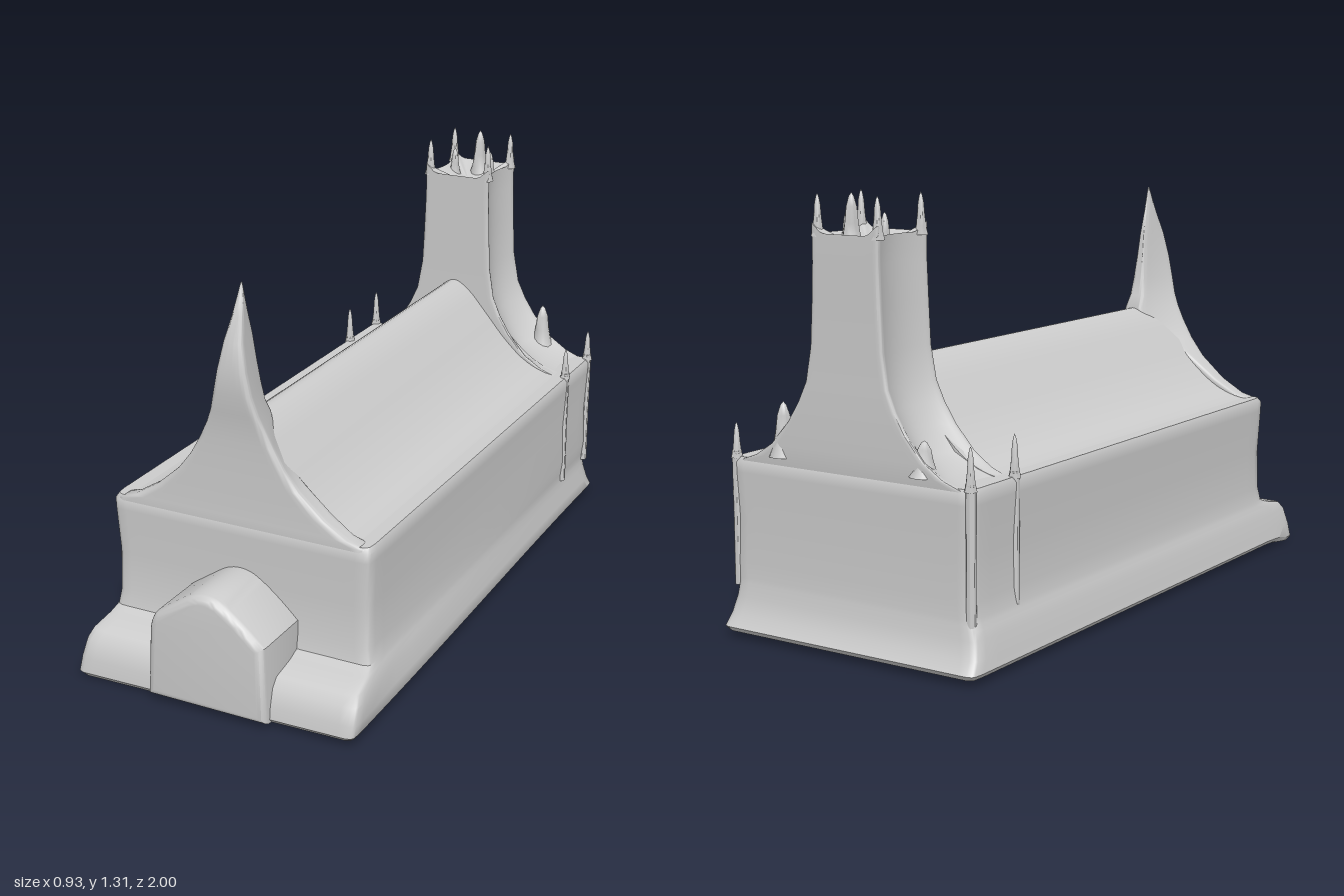
import * as THREE from 'three';
import { toCreasedNormals, mergeVertices } from 'three/addons/utils/BufferGeometryUtils.js';

const mat = new THREE.MeshStandardMaterial({ color: 0xcccccc });
const { smoothstep, clamp } = THREE.MathUtils;

function part(name, geo, crease = 0.8) {
  const mesh = new THREE.Mesh(toCreasedNormals(geo, crease), mat);
  mesh.name = name;
  return mesh;
}

// Outline of a square of half-size 1, with points gathered towards the corners.
function squareRing(k = 20) {
  const pts = [];
  for (let side = 0; side < 4; side++) {
    for (let i = 0; i < k; i++) {
      const s = Math.sin((i / k - 0.5) * Math.PI);
      pts.push([[1, s], [-s, 1], [-1, -s], [s, -1]][side]);
    }
  }
  return pts;
}

// Stacks rounded rectangles, levels = [y, xMin, xMax, zMin, zMax].
// warp(point, level) can reshape each ring; dip sinks the middle of the top.
function loft(levels, radius, warp, dip = 0) {
  const ring = squareRing(), n = ring.length, pos = [], index = [];
  for (const level of levels) {
    const [y, x0, x1, z0, z1] = level;
    const a = (x1 - x0) / 2, b = (z1 - z0) / 2, r = Math.min(radius, a, b);
    for (const [u, v] of ring) {
      const p = new THREE.Vector2(u * a, v * b);
      const q = new THREE.Vector2(clamp(p.x, r - a, a - r), clamp(p.y, r - b, b - r));
      const d = p.sub(q).setLength(r).add(q);
      const out = new THREE.Vector3((x0 + x1) / 2 + d.x, y, (z0 + z1) / 2 + d.y);
      if (warp) warp(out, level);
      pos.push(out.x, out.y, out.z);
    }
  }
  for (let j = 0; j < levels.length - 1; j++) {
    for (let i = 0; i < n; i++) {
      const a = j * n + i, b = j * n + (i + 1) % n;
      index.push(a, a + n, b, b, a + n, b + n);
    }
  }
  const first = levels[0], last = levels[levels.length - 1], c = pos.length / 3, t = (levels.length - 1) * n;
  for (const [l, sink] of [[first, 0], [last, dip]])
    pos.push((l[1] + l[2]) / 2, l[0] - sink, (l[3] + l[4]) / 2);
  for (let i = 0; i < n; i++) {
    const k = (i + 1) % n;
    index.push(c, i, k, c + 1, t + k, t + i);
  }
  const geo = new THREE.BufferGeometry();
  geo.setAttribute('position', new THREE.Float32BufferAttribute(pos, 3));
  geo.setIndex(index);
  return mergeVertices(geo, 1e-5);
}

// Slender pointed finial with a flared foot that melts into what it stands on.
function pinnacle(name, x, y, z, r, h) {
  const profile = [[r, 0], [r * 0.72, h * 0.2], [r * 0.55, h * 0.45], [r * 0.42, h * 0.75], [r * 0.2, h * 0.93], [0, h]]
    .map(p => new THREE.Vector2(...p));
  const mesh = part(name, new THREE.LatheGeometry(profile, 12), 1.2);
  mesh.position.set(x, y, z);
  return mesh;
}

export function createModel() {
  const g = new THREE.Group();
  g.name = 'church';

  // Walls growing out of a flared plinth with a low terrace in front;
  // the right flank narrows to the back, the front edge sags and its right corner bulges
  g.add(part('wallsAndPlinth', loft([
    [0.024, -0.42, 0.42, -0.95, 0.8],
    [0.021, -0.455, 0.455, -0.99, 0.955],
    [0.035, -0.465, 0.465, -1, 0.968],
    [0.07, -0.457, 0.46, -0.975, 0.962],
    [0.12, -0.446, 0.45, -0.96, 0.945],
    [0.145, -0.438, 0.442, -0.956, 0.92],
    [0.16, -0.432, 0.436, -0.953, 0.84],
    [0.175, -0.428, 0.431, -0.951, 0.8],
    [0.22, -0.422, 0.424, -0.949, 0.79],
    [0.35, -0.42, 0.42, -0.945, 0.785],
    [0.49, -0.427, 0.427, -0.95, 0.79],
    [0.52, -0.428, 0.428, -0.95, 0.79],
    [0.535, -0.42, 0.42, -0.94, 0.78],
  ], 0.025, p => {
    const low = 1 - smoothstep(p.y, 0.12, 0.22);
    if (p.x > 0) {
      p.x -= 0.03 * low * (1 - smoothstep(p.z, -1, 0.95));
      p.x += 0.017 * low * smoothstep(p.y, 0.03, 0.11) * smoothstep(p.z, 0.65, 0.93);
    }
    p.y -= 0.02 * (0.5 - p.x) * smoothstep(p.z, 0.82, 0.95) * (1 - smoothstep(p.y, 0.02, 0.1));
  })));

  // Long roof, steep below the ridge and flattening out at the eaves
  const half = [[0.42, 0.53], [0.35, 0.54], [0.28, 0.57], [0.2, 0.637], [0.12, 0.728], [0.05, 0.803], [0, 0.83]];
  const curve = new THREE.CatmullRomCurve3(
    [...half, ...half.slice(0, -1).reverse().map(([x, y]) => [-x, y])].map(([x, y]) => new THREE.Vector3(x, y, 0)));
  const roofShape = new THREE.Shape(curve.getPoints(48).map(p => new THREE.Vector2(p.x, p.y)));
  roofShape.lineTo(-0.42, 0.45);
  roofShape.lineTo(0.42, 0.45);
  const roof = part('roof', new THREE.ExtrudeGeometry(roofShape, { depth: 1.53, bevelEnabled: false }));
  roof.position.z = -0.76;
  g.add(roof);

  // Front gable sweeping up into a spire, wedge-shaped towards the back
  const gable = [
    [0.5, 0.42, 0.74, 0.788], [0.53, 0.41, 0.735, 0.79], [0.545, 0.355, 0.73, 0.789], [0.59, 0.28, 0.72, 0.788],
    [0.66, 0.203, 0.71, 0.788], [0.72, 0.16, 0.69, 0.788], [0.78, 0.125, 0.64, 0.79], [0.83, 0.1, 0.63, 0.793],
    [0.87, 0.083, 0.651, 0.799], [0.93, 0.066, 0.664, 0.808], [1, 0.05, 0.676, 0.81], [1.08, 0.034, 0.688, 0.797],
    [1.15, 0.021, 0.705, 0.77], [1.2, 0.013, 0.718, 0.748], [1.24, 0.003, 0.728, 0.734],
  ].map(([y, w, z0, z1]) => [y, -w, w, z0, z1]);
  g.add(part('frontGable', loft(gable, 0.02, (p, [y, , , z0, z1]) => {
    p.x *= 1 - smoothstep(y, 0.62, 0.82) * 0.7 * (z1 - p.z) / (z1 - z0);
  }), 1.1));

  // Rear facade narrowing into the tower, with hollowed flanks and a rim rising to the corners
  const tower = [
    [0.48, 0.42, -0.94, -0.725], [0.52, 0.42, -0.945, -0.72], [0.55, 0.34, -0.949, -0.715], [0.59, 0.28, -0.95, -0.71],
    [0.66, 0.217, -0.95, -0.71], [0.72, 0.178, -0.95, -0.71], [0.78, 0.15, -0.948, -0.711], [0.88, 0.132, -0.946, -0.712],
    [1, 0.126, -0.945, -0.712], [1.12, 0.121, -0.945, -0.712], [1.16, 0.121, -0.945, -0.712], [1.2, 0.122, -0.944, -0.712],
  ].map(([y, w, z0, z1]) => [y, -w, w, z0, z1]);
  g.add(part('towerFacade', loft(tower, 0.014, (p, [y, , x1, z0, z1]) => {
    const u = Math.abs(p.x) / x1, v = (p.z - (z0 + z1) / 2) / ((z1 - z0) / 2);
    p.x *= 1 - 0.24 * smoothstep(y, 0.5, 0.6) * (1 - v * v);
    if (y > 1.19) p.y += 0.03 * smoothstep(u, 0.6, 1) * smoothstep(Math.abs(v), 0.6, 1);
  }, 0.06)));

  // Porch with a pointed roof and softened edges
  const porchShape = new THREE.Shape();
  porchShape.moveTo(-0.172, 0.045);
  porchShape.lineTo(0.172, 0.045);
  porchShape.lineTo(0.168, 0.25);
  porchShape.quadraticCurveTo(0.1, 0.315, 0.04, 0.352);
  porchShape.quadraticCurveTo(0, 0.37, -0.04, 0.347);
  porchShape.lineTo(-0.14, 0.28);
  porchShape.quadraticCurveTo(-0.158, 0.265, -0.16, 0.22);
  const porch = part('porch', new THREE.ExtrudeGeometry(porchShape, {
    depth: 0.2, bevelSize: 0.027, bevelThickness: 0.03, bevelSegments: 6, curveSegments: 8,
  }), 0.7);
  porch.position.z = 0.767;
  g.add(porch);

  for (const s of [-1, 1]) {
    // Faint buttresses and thin finials at the rear corners
    for (const z of [-0.725, -0.937]) {
      const x = s * 0.416;
      g.add(part('cornerButtress', loft([
        [0.15, x - 0.014, x + 0.014, z - 0.014, z + 0.014],
        [0.35, x - 0.013, x + 0.013, z - 0.014, z + 0.014],
        [0.55, x - 0.014, x + 0.014, z - 0.014, z + 0.014],
      ], 0.012)));
      g.add(pinnacle('cornerFinial', x, 0.53, z, 0.018, s > 0 ? 0.105 : 0.125));
    }
    // Shoulder finials on the rear facade
    g.add(pinnacle('shoulderFinial', s * 0.25, 0.55, -0.92, 0.045, s > 0 ? 0.16 : 0.1));
    // Tower crown
    g.add(pinnacle('towerFrontPinnacle', s * 0.106, 1.19, -0.731, 0.02, 0.12));
    g.add(pinnacle('towerBackPinnacle', s * 0.105, 1.19, -0.927, 0.02, 0.12));
    g.add(pinnacle('towerSidePinnacle', s * 0.066, 1.16, -0.845, 0.024, 0.1));
  }
  g.add(pinnacle('towerRearPinnacle', 0, 1.16, -0.908, 0.036, 0.155));
  return g;
}
